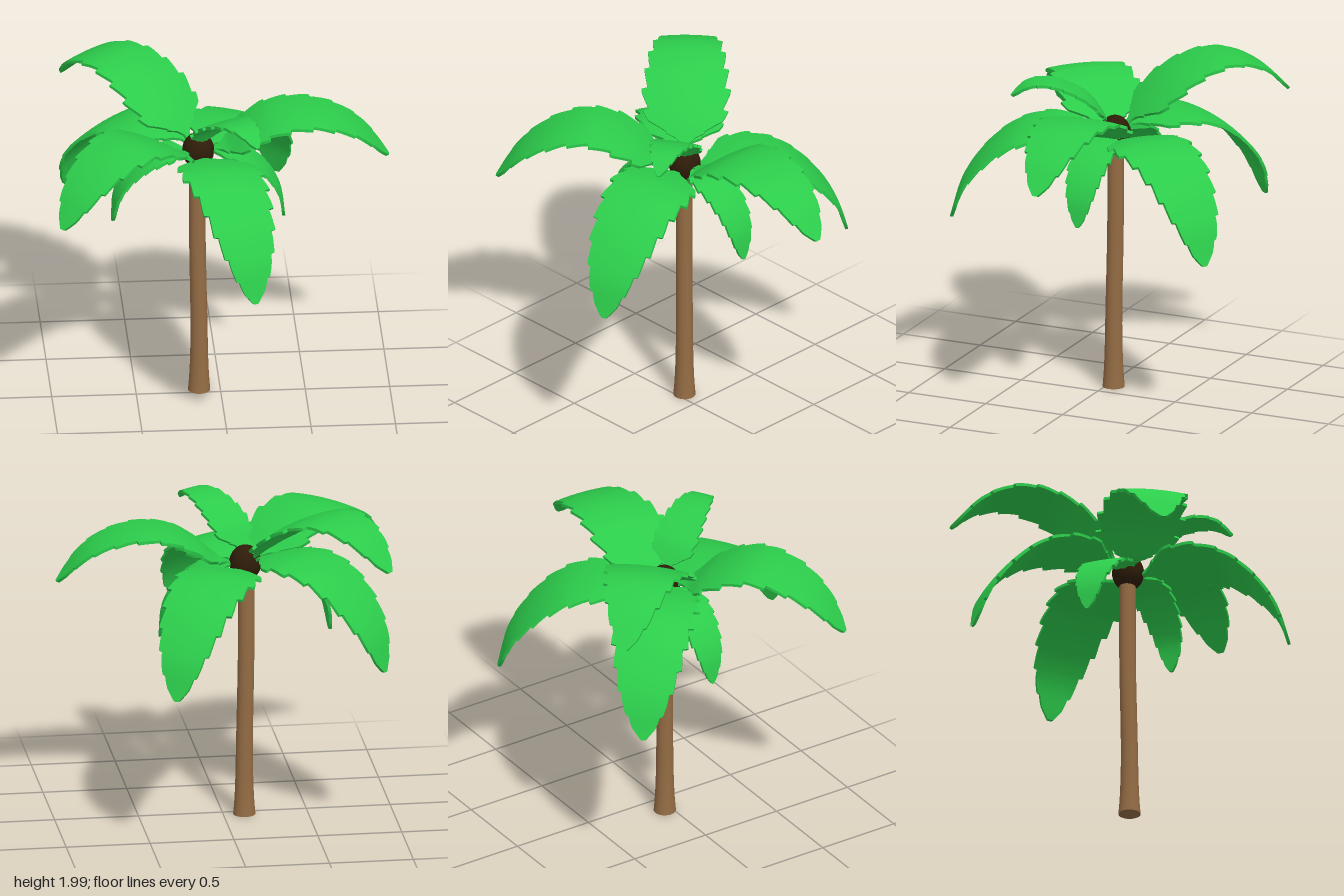
import * as THREE from 'three';
import { toCreasedNormals } from 'three/addons/utils/BufferGeometryUtils.js';

const CROWN = { x: -0.13, z: -0.05 };
const green = new THREE.MeshStandardMaterial({ color: 0x2ccc4b });
const bark = new THREE.MeshStandardMaterial({ color: 0x946c44 });
const brown = new THREE.MeshStandardMaterial({ color: 0x2e1c08 });

// Half width of a frond along its length: thin stem, broad shoulder, tapering rounded tip
const OUTLINE = [[0, 0.015], [0.07, 0.025], [0.1, 0.1], [0.17, 0.23], [0.3, 0.255], [0.5, 0.23],
  [0.68, 0.19], [0.82, 0.14], [0.94, 0.075], [1, 0.014]];

function halfWidth(s) {
  const i = Math.max(1, OUTLINE.findIndex(p => p[0] >= s));
  const [a, b] = [OUTLINE[i - 1], OUTLINE[i]];
  return THREE.MathUtils.mapLinear(s, a[0], b[0], a[1], b[1]);
}

// Thin curved leaf with saw-toothed edges; spine holds [distance from trunk, height]
function frondGeometry(spine, widthScale, roll) {
  const curve = new THREE.CatmullRomCurve3(spine.map(([d, y]) => new THREE.Vector3(d, y, 0)));
  const TEETH = 9, COLS = 6, THICK = 0.018;
  const stations = [];
  for (let i = 0; i < TEETH; i++) for (const k of [0, 0.25, 0.5, 0.75, 0.95]) stations.push((i + k) / TEETH);
  stations.push(1);
  const positions = [], index = [], ring = 2 * (COLS + 1);

  stations.forEach((s, row) => {
    const p = curve.getPointAt(s), t = curve.getTangentAt(s);
    const tooth = (s * TEETH) % 1;
    const saw = s > 0.1 && s < 1 ? 0.91 + 0.15 * tooth : 1;
    const w = halfWidth(s) * saw * widthScale;
    const thick = s < 1 ? THICK : 0.002;
    for (let j = 0; j < ring; j++) {
      const top = j <= COLS;
      const u = top ? -1 + 2 * j / COLS : 1 - 2 * (j - COLS - 1) / COLS;
      const z = u * w;
      const drop = 0.3 * z * z - roll * z + (top ? 0 : thick);
      positions.push(p.x + t.y * drop, p.y - t.x * drop, z);
      if (row < stations.length - 1) {
        const a = row * ring + j, b = row * ring + (j + 1) % ring;
        index.push(a, b, a + ring, b, b + ring, a + ring);
      }
    }
  });
  const geo = new THREE.BufferGeometry();
  geo.setAttribute('position', new THREE.Float32BufferAttribute(positions, 3));
  geo.setIndex(index);
  return toCreasedNormals(geo, 0.7);
}

export function createModel() {
  const group = new THREE.Group();
  const add = (name, geo, mat) => {
    const mesh = new THREE.Mesh(geo, mat);
    mesh.name = name;
    group.add(mesh);
    return mesh;
  };

  // Trunk: flared foot and a slight bend
  const trunkGeo = new THREE.CylinderGeometry(1, 1, 1.53, 24, 24);
  trunkGeo.translate(0, 0.765, 0);
  const pos = trunkGeo.attributes.position;
  for (let i = 0; i < pos.count; i++) {
    const y = pos.getY(i);
    const r = 0.049 + 0.017 * Math.exp(-y * 6);
    const bend = THREE.MathUtils.smoothstep(y, 0.3, 1.1);
    pos.setX(i, pos.getX(i) * r - 0.125 - 0.01 * bend);
    pos.setZ(i, pos.getZ(i) * r - 0.043 - 0.008 * bend);
  }
  trunkGeo.computeVertexNormals();
  add('trunk', toCreasedNormals(trunkGeo, 0.7), bark);

  // Crown: dark heart from which the fronds grow
  const crown = add('crown', new THREE.SphereGeometry(0.095, 28, 20), brown);
  crown.scale.y = 1.15;
  crown.position.set(CROWN.x, 1.57, CROWN.z);

  // Fronds
  const drooping = [[0.04, 1.54], [0.14, 1.575], [0.26, 1.605], [0.4, 1.615], [0.58, 1.57], [0.75, 1.45], [0.91, 1.24], [0.985, 1.01]];
  const raised = [[0.04, 1.57], [0.16, 1.61], [0.28, 1.71], [0.43, 1.79], [0.63, 1.815], [0.83, 1.77], [0.98, 1.68], [1.13, 1.51]];
  const small = [[0.03, 1.57], [0.15, 1.58], [0.29, 1.54], [0.42, 1.43], [0.49, 1.3], [0.515, 1.13]];
  const fronds = [
    // name, heading x, heading z, spine, width scale, sideways roll
    ['leftFrond', 1.13, 0.0, raised, 0.98, -0.03],
    ['frontRightFrond', -0.83, 0.7, [[0.04, 1.57], [0.16, 1.62], [0.28, 1.71], [0.45, 1.79], [0.6, 1.81], [0.8, 1.75], [0.98, 1.62], [1.12, 1.43]], 1, 0],
    ['frontFrond', 0.28, 0.95, drooping, 0.97, 0.1],
    ['backLeftFrond', 0.52, -0.82, drooping, 0.97, 0],
    ['backRightLowerFrond', -0.74, -0.63, drooping.map(([d, y]) => [d, y + 0.06]), 1, 0],
    ['backRightUpperFrond', -0.75, -0.77, [[0.04, 1.6], [0.2, 1.77], [0.4, 1.92], [0.6, 1.99], [0.75, 1.985], [0.92, 1.91], [1.09, 1.74]], 1, 0],
    ['rightSmallFrond', -1, 0.02, small, 0.53, 0.08],
    ['leftSmallFrond', 1, 0.02, small, 0.53, 0],
    ['frontSmallFrond', 0.32, 0.53, [[0.02, 1.62], [0.13, 1.78], [0.27, 1.87], [0.4, 1.91], [0.52, 1.9], [0.62, 1.83]], 0.55, 0],
  ];
  for (const [name, hx, hz, spine, width, roll] of fronds) {
    const frond = add(name, frondGeometry(spine, width, roll), green);
    frond.position.set(CROWN.x, 0, CROWN.z);
    frond.rotation.y = Math.atan2(-hz, hx);
  }
  return group;
}
